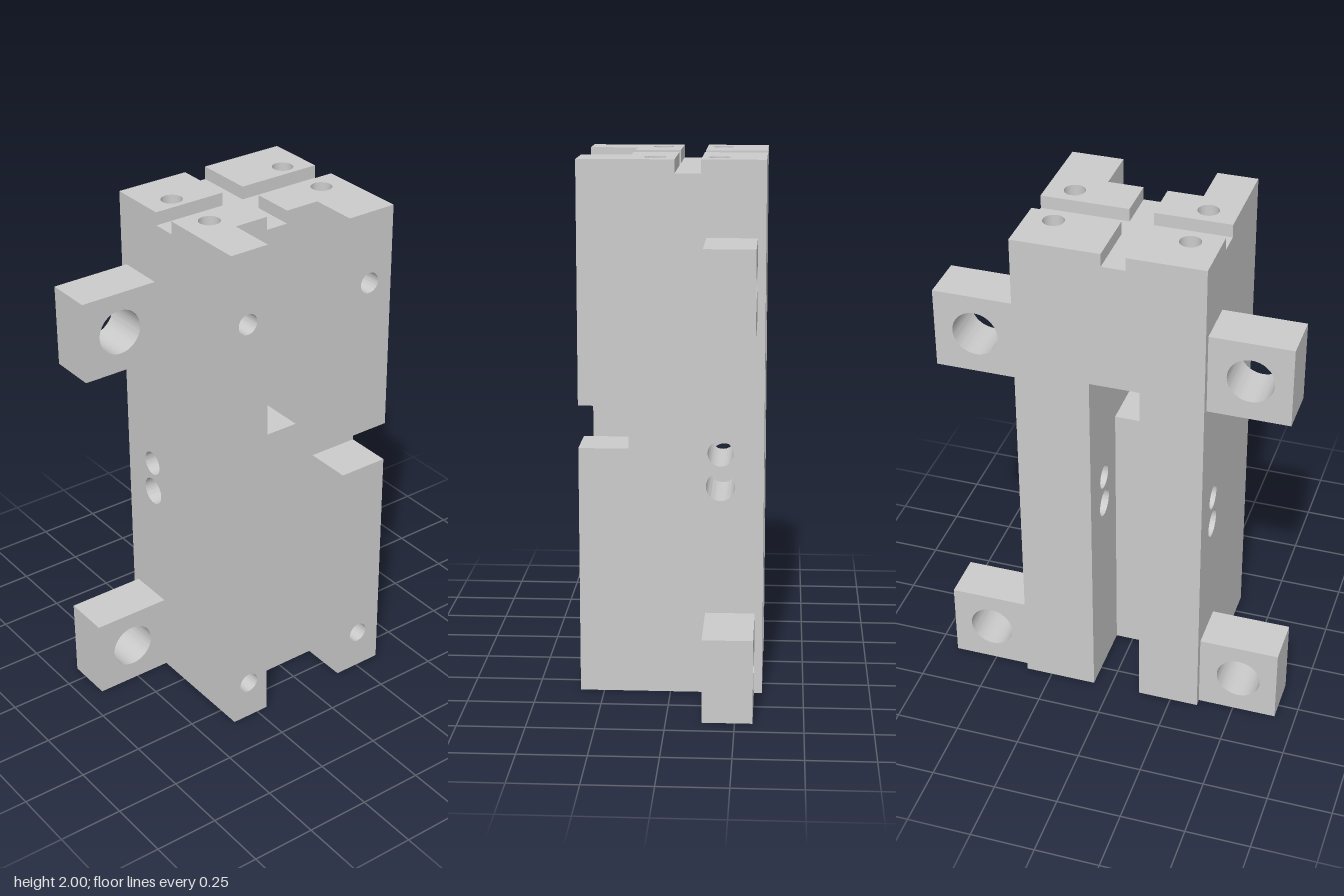
import * as THREE from 'three';
import { toCreasedNormals } from 'three/addons/utils/BufferGeometryUtils.js';

const material = new THREE.MeshStandardMaterial({ color: 0xcccccc });
const innerMaterial = new THREE.MeshStandardMaterial({ color: 0xcccccc, side: THREE.DoubleSide });

// Block between two corners, drilled along one axis.
// Holes are [a, b, radius]: (z, y) for axis x, (x, z) for axis y, (x, y) for axis z.
function block(parent, name, min, max, axis = 'z', holes = []) {
  const [x0, y0, z0] = min, [x1, y1, z1] = max;
  const [u0, u1, v0, v1, w0, w1] = {
    x: [-z1, -z0, y0, y1, x0, x1],
    y: [x0, x1, -z1, -z0, y0, y1],
    z: [x0, x1, y0, y1, z0, z1],
  }[axis];
  const shape = new THREE.Shape([
    new THREE.Vector2(u0, v0), new THREE.Vector2(u1, v0),
    new THREE.Vector2(u1, v1), new THREE.Vector2(u0, v1),
  ]);
  for (const [a, b, r] of holes) {
    const u = axis === 'x' ? -a : a, v = axis === 'y' ? -b : b;
    shape.holes.push(new THREE.Path().absarc(u, v, r, 0, Math.PI * 2, true));
  }
  const geometry = new THREE.ExtrudeGeometry(shape, { depth: w1 - w0, bevelEnabled: false, curveSegments: 32 });
  geometry.translate(0, 0, w0);
  if (axis === 'x') geometry.rotateY(Math.PI / 2);
  if (axis === 'y') geometry.rotateX(-Math.PI / 2);
  const mesh = new THREE.Mesh(toCreasedNormals(geometry, 0.5), material);
  mesh.name = name;
  parent.add(mesh);
}

// Conical drill end closing a blind hole, tip pointing into the material
function drillTip(parent, name, x, y, z, axis, r = 0.04, h = 0.024) {
  const geometry = new THREE.ConeGeometry(r, h, 32, 1, true);
  geometry.translate(0, -h / 2, 0).rotateX(Math.PI).translate(0, -h, 0);
  if (axis === 'z') geometry.rotateX(Math.PI / 2);
  const mesh = new THREE.Mesh(geometry, innerMaterial);
  mesh.name = name;
  // The rim sits h above the tip
  mesh.position.set(x, y, z);
  if (axis === 'y') mesh.position.y += h;
  else mesh.position.z += h;
  parent.add(mesh);
}

export function createModel() {
  const model = new THREE.Group();
  model.name = 'slottedMountingBlock';

  const L = 0.355, R = -0.36;              // outer sides
  const slotL = 0.07, slotR = -0.12;       // rear slot and window
  const back = -0.345, face = 0.155, front = 0.34;
  const headY = 1.72, padY = 1.95, top = 2;

  // Cheeks either side of the rear slot, cross-drilled
  const crossHoles = [[-0.185, 0.925, 0.048], [-0.185, 0.8, 0.054]];
  block(model, 'leftCheek', [slotL, 0, back], [L, headY, face], 'x', crossHoles);
  block(model, 'rightCheek', [R, 0, back], [slotR, headY, face], 'x', crossHoles);

  // Web below the window and bridge above it
  block(model, 'lowerWeb', [slotR, 0, -0.045], [slotL, 1.11, face]);
  block(model, 'upperBridge', [slotR, 1.455, back], [slotL, headY, face]);

  // Head with four blind holes, and pads left by the crossing grooves
  const padSpans = [[R, -0.07, -0.25], [0.02, L, 0.25]];
  const padDepths = [[back, -0.11, -0.172], [-0.015, face, 0.06]];
  const topHoles = [];
  const pads = new THREE.Group();
  pads.name = 'topPads';
  for (const [x0, x1, hx] of padSpans) {
    for (const [z0, z1, hz] of padDepths) {
      const hole = [hx, hz, 0.04];
      topHoles.push(hole);
      block(pads, 'topPad', [x0, padY, z0], [x1, top, z1], 'y', [hole]);
      drillTip(pads, 'topHoleEnd', hx, headY + 0.001, hz, 'y');
    }
  }
  block(model, 'head', [R, headY, back], [L, padY, face], 'y', topHoles);
  model.add(pads);

  // Front rails; the left one is interrupted by a notch
  const railHoles = [0.16, 1.72];
  block(model, 'rightRail', [R, 0, face], [-0.205, top, front], 'z', railHoles.map((y) => [-0.29, y, 0.04]));
  block(model, 'leftRailLower', [0.155, 0, face], [L, 0.94, front], 'z', [[0.255, railHoles[0], 0.04]]);
  block(model, 'leftRailUpper', [0.155, 1.1, face], [L, top, front], 'z', [[0.255, railHoles[1], 0.04]]);
  for (const x of [-0.29, 0.255]) {
    for (const y of railHoles) drillTip(model, 'railHoleEnd', x, y, face + 0.001, 'z');
  }

  // Mounting lugs with through holes
  for (const [y0, y1, hy] of [[0, 0.313, 0.16], [1.405, 1.72, 1.565]]) {
    const spans = [['leftLug', L, 0.67, 0.513], ['rightLug', -0.67, R, -0.517]];
    for (const [name, x0, x1, hx] of spans) {
      block(model, name, [x0, y0, -0.315], [x1, y1, -0.13], 'z', [[hx, hy, 0.087]]);
    }
  }
  return model;
}
